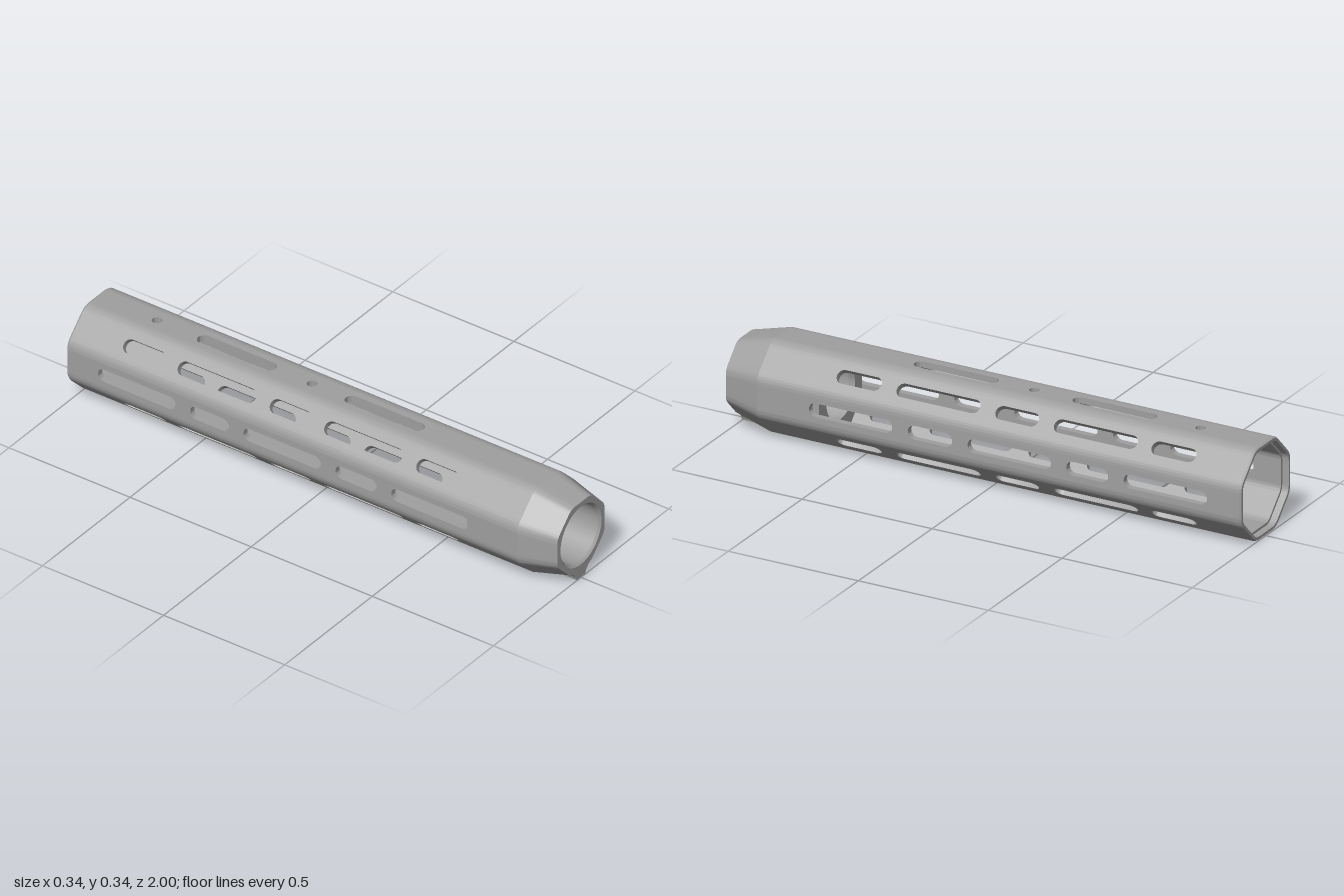
import * as THREE from 'three';
import { toCreasedNormals } from 'three/addons/utils/BufferGeometryUtils.js';

const APOTHEM = 0.17, HALF = 0.045, WALL = 0.023; // outer octagon, half width of a flat, wall thickness
const Z_BACK = -0.975, Z_FRONT = 0.86;            // straight part of the tube
const STEPS = 8, CREASE = 0.5;

// Octagon with rounded corners, counterclockwise
function octagon(a, half = HALF) {
  const r = a - half / Math.tan(Math.PI / 8), pts = [];
  for (let k = 0; k < 8; k++) {
    const p = k * Math.PI / 4, c = Math.cos(p), s = Math.sin(p);
    for (let i = 1; i < 4; i++) { // points along the flat
      const t = half * (i / 2 - 1);
      pts.push([a * c - t * s, a * s + t * c]);
    }
    for (let i = 0; i <= STEPS; i++) { // corner arc
      const q = p + (Math.PI / 4) * i / STEPS;
      pts.push([(a - r) * c - half * s + r * Math.cos(q), (a - r) * s + half * c + r * Math.sin(q)]);
    }
  }
  return pts;
}

// Circle with points at the same angles as the octagon
const circle = (r) => octagon(APOTHEM).map(([x, y]) => {
  const l = Math.hypot(x, y);
  return [x * r / l, y * r / l];
});

// Skin over a list of [outline, z]
function loft(rings) {
  const pos = [], index = [], n = rings[0][0].length;
  for (const [pts, z] of rings) for (const [x, y] of pts) pos.push(x, y, z);
  for (let s = 0; s < rings.length - 1; s++) {
    for (let j = 0; j < n; j++) {
      const a = s * n + j, b = s * n + (j + 1) % n;
      index.push(a, b, a + n, b, b + n, a + n);
    }
  }
  const g = new THREE.BufferGeometry();
  g.setAttribute('position', new THREE.Float32BufferAttribute(pos, 3));
  g.setIndex(index);
  return toCreasedNormals(g.toNonIndexed(), CREASE);
}

// Round-ended slot running along z
function slot(z0, z1, r = 0.025) {
  const h = new THREE.Path();
  h.absarc(0, -z0 - r, r, 0, Math.PI, false);
  h.absarc(0, -z1 + r, r, Math.PI, 2 * Math.PI, false);
  h.closePath();
  return h;
}

function roundHole(z, r = 0.018) {
  const h = new THREE.Path();
  h.absarc(0, -z, r, 0, 2 * Math.PI, false);
  return h;
}

export function createModel() {
  const model = new THREE.Group();
  model.name = 'slottedTube';
  const metal = new THREE.MeshStandardMaterial({ color: 0xa0a0a0 });
  metal.name = 'greyMetal';
  const body = new THREE.Group();
  body.name = 'tube';
  body.position.y = APOTHEM;
  model.add(body);
  const add = (name, geometry) => {
    const m = new THREE.Mesh(geometry, metal);
    m.name = name;
    body.add(m);
    return m;
  };

  // Openings by kind of panel
  const sideSlots = [[-0.87, -0.55], [-0.49, -0.33], [-0.27, 0.05], [0.11, 0.28], [0.34, 0.66]];
  const diagonalSlots = [[-0.80, -0.63], [-0.575, -0.255], [-0.195, -0.03], [0.03, 0.35], [0.41, 0.58]];
  const topSlots = [[-0.58, -0.26], [0.03, 0.35]];
  const holesFor = (k) => {
    if (k === 4) return [];
    if (k === 0) return [...topSlots.map((s) => slot(...s)), roundHole(-0.75), roundHole(-0.11)];
    return (k % 2 ? diagonalSlots : sideSlots).map((s) => slot(...s));
  };

  // Cross-section of one rounded corner
  const r = APOTHEM - HALF / Math.tan(Math.PI / 8), cy = APOTHEM - r;
  const cornerShape = new THREE.Shape();
  cornerShape.absarc(HALF, cy, r, Math.PI / 4, Math.PI / 2, false);
  cornerShape.absarc(HALF, cy, r - WALL, Math.PI / 2, Math.PI / 4, true);
  cornerShape.closePath();
  const cornerGeo = toCreasedNormals(new THREE.ExtrudeGeometry(cornerShape,
    { depth: Z_FRONT - Z_BACK, bevelEnabled: false, curveSegments: STEPS }), CREASE);
  cornerGeo.translate(0, 0, Z_BACK);

  // Eight flat panels and the corners between them
  for (let k = 0; k < 8; k++) {
    const shape = new THREE.Shape([
      new THREE.Vector2(-HALF, -Z_FRONT), new THREE.Vector2(HALF, -Z_FRONT),
      new THREE.Vector2(HALF, -Z_BACK), new THREE.Vector2(-HALF, -Z_BACK),
    ]);
    shape.holes.push(...holesFor(k));
    const g = new THREE.ExtrudeGeometry(shape, { depth: WALL, bevelEnabled: false, curveSegments: 10 });
    g.rotateX(-Math.PI / 2);
    g.translate(0, APOTHEM - WALL, 0);
    add('panel' + k, toCreasedNormals(g, CREASE)).rotation.z = k * Math.PI / 4;
    add('corner' + k, cornerGeo).rotation.z = k * Math.PI / 4;
  }

  // Tapered nose with chamfered bore, inner shoulder and rear face of the collar
  const inner = APOTHEM - WALL;
  add('nose', loft([
    [octagon(APOTHEM), Z_FRONT],
    [octagon(0.135, 0.036), 1],
    [circle(0.117), 1],
    [circle(0.109), 0.992],
    [circle(0.109), 0.66],
    [circle(0.097), 0.66],
    [circle(0.097), 0.635],
    [octagon(inner), 0.635],
    [octagon(inner), 0.7],
  ]));

  // Rear rim with a shallow inner recess and a small outer chamfer
  add('rearRim', loft([
    [octagon(inner), Z_BACK],
    [octagon(0.156), Z_BACK],
    [octagon(0.156), -1],
    [octagon(0.166), -1],
    [octagon(APOTHEM), -0.994],
    [octagon(APOTHEM), Z_BACK],
  ]));

  // Rib under the nose with concave flanks
  const rib = new THREE.Shape();
  rib.moveTo(-0.025, -0.168);
  rib.lineTo(0.025, -0.168);
  rib.quadraticCurveTo(0.028, -0.146, 0.062, -0.122);
  rib.lineTo(-0.062, -0.122);
  rib.quadraticCurveTo(-0.028, -0.146, -0.025, -0.168);
  const ribGeo = new THREE.ExtrudeGeometry(rib, { depth: 1 - 0.84, bevelEnabled: false, curveSegments: 8 });
  ribGeo.translate(0, 0, 0.84);
  add('noseRib', toCreasedNormals(ribGeo, CREASE));

  return model;
}
